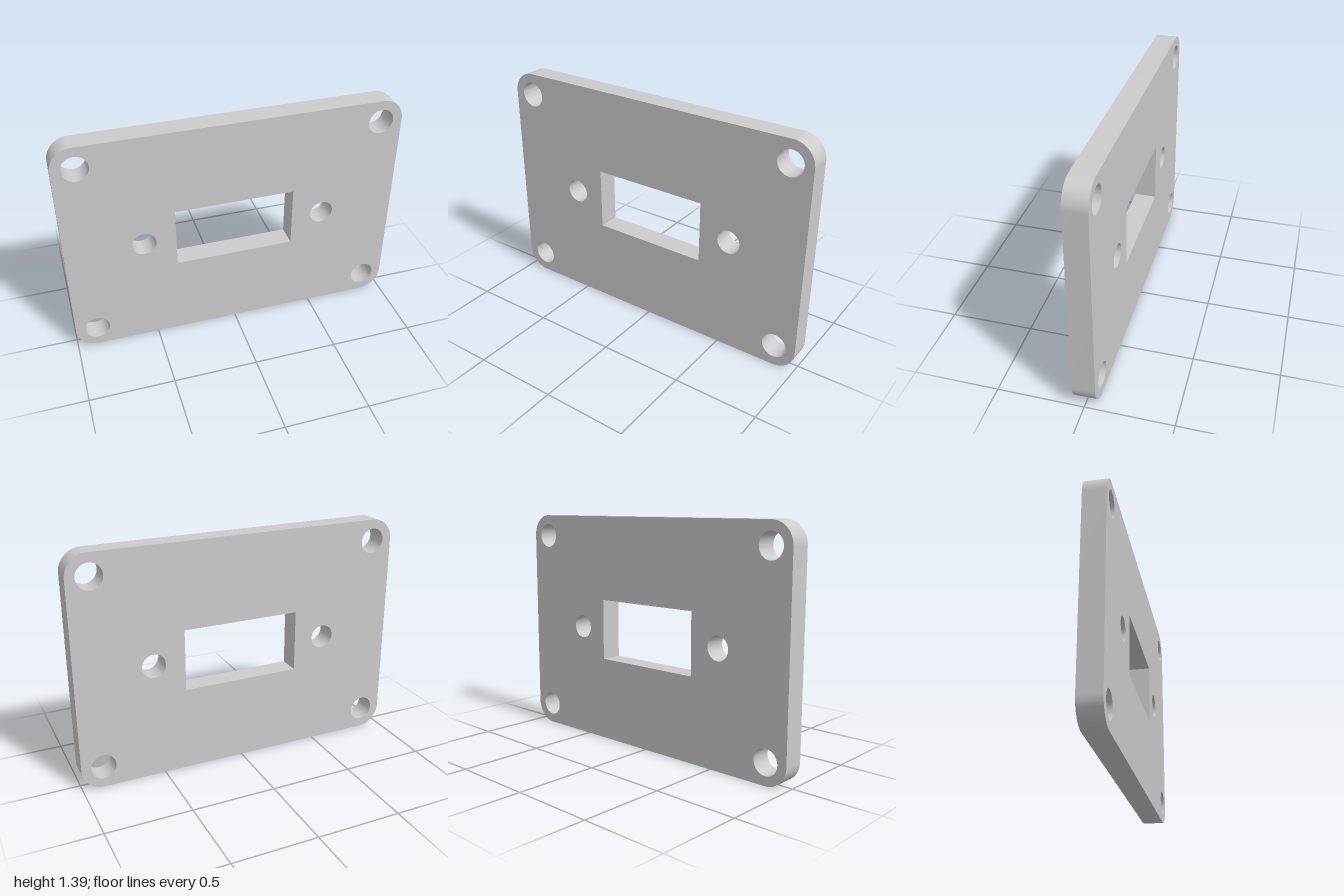
import * as THREE from 'three';
import { toCreasedNormals } from 'three/addons/utils/BufferGeometryUtils.js';

const WIDTH = 2, HEIGHT = 1.39, DEPTH = 0.13, CORNER = 0.13;

// Rounded rectangle centred on the origin
function plateOutline(w, h, r) {
  const x = w / 2 - r, y = h / 2 - r;
  const s = new THREE.Shape();
  s.absarc(x, y, r, 0, Math.PI / 2);
  s.absarc(-x, y, r, Math.PI / 2, Math.PI);
  s.absarc(-x, -y, r, Math.PI, Math.PI * 1.5);
  s.absarc(x, -y, r, Math.PI * 1.5, Math.PI * 2);
  s.closePath();
  return s;
}

function roundHole(x, y, r) {
  return new THREE.Path().absarc(x, y, r, 0, Math.PI * 2, true);
}

function rectHole(w, h) {
  const x = w / 2, y = h / 2;
  return new THREE.Path([[-x, -y], [-x, y], [x, y], [x, -y]]
    .map(([px, py]) => new THREE.Vector2(px, py))).closePath();
}

export function createModel() {
  const group = new THREE.Group();
  group.name = 'mountingPlate';

  const shape = plateOutline(WIDTH, HEIGHT, CORNER);

  // Connector window
  shape.holes.push(rectHole(0.71, 0.37));

  for (const side of [-1, 1]) {
    // Screw holes beside the window
    shape.holes.push(roundHole(side * 0.543, 0, 0.071));
    // Corner holes, concentric with the rounded corners
    for (const end of [-1, 1]) {
      shape.holes.push(roundHole(side * (WIDTH / 2 - CORNER), end * (HEIGHT / 2 - CORNER), 0.075));
    }
  }

  const geometry = new THREE.ExtrudeGeometry(shape, { depth: DEPTH, bevelEnabled: false, curveSegments: 24 });
  geometry.translate(0, HEIGHT / 2, -DEPTH / 2);

  const plate = new THREE.Mesh(
    toCreasedNormals(geometry, Math.PI / 6),
    new THREE.MeshStandardMaterial({ color: 0xcccccc })
  );
  plate.name = 'plate';
  group.add(plate);
  return group;
}
